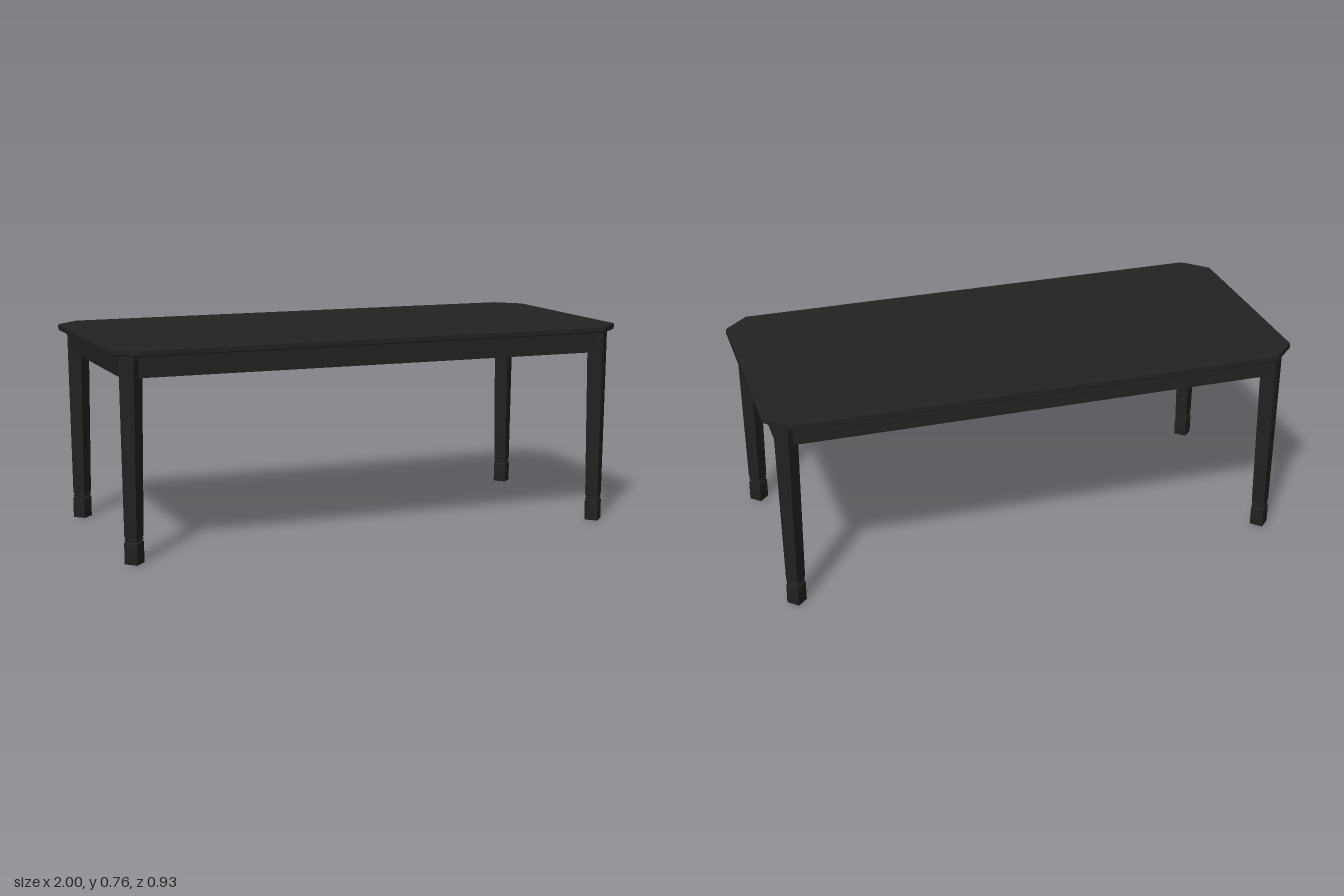
import * as THREE from 'three';
import { toCreasedNormals } from 'three/addons/utils/BufferGeometryUtils.js';

export function createModel() {
  const table = new THREE.Group();
  table.name = 'extendingTable';
  const wood = new THREE.MeshStandardMaterial({ color: 0x222222 });
  wood.name = 'blackWood';

  const add = (name, geometry, x = 0, y = 0, z = 0, parent = table) => {
    const mesh = new THREE.Mesh(geometry, wood);
    mesh.name = name;
    mesh.position.set(x, y, z);
    parent.add(mesh);
    return mesh;
  };
  const box = (name, w, h, d, x, y, z, parent) =>
    add(name, new THREE.BoxGeometry(w, h, d), x, y, z, parent);

  // Two table top leaves with clipped corners and eased edges, meeting at a fine seam
  const outline = new THREE.Shape([
    [0, -0.467], [0.91, -0.467], [1, -0.378], [1, 0.378], [0.91, 0.467], [0, 0.467],
  ].map(([x, y]) => new THREE.Vector2(x, y)));
  const bevel = 0.003;
  const leaf = new THREE.ExtrudeGeometry(outline, {
    depth: 0.023 - 2 * bevel, bevelEnabled: true, bevelSegments: 1,
    bevelSize: bevel, bevelThickness: bevel, bevelOffset: -bevel,
  });
  leaf.rotateX(-Math.PI / 2);
  add('leftLeaf', leaf, 0, 0.742 + bevel, 0);
  add('rightLeaf', leaf, 0, 0.742 + bevel, 0).rotation.y = Math.PI;

  // Aprons with a raised bead along the lower edge
  for (const s of [1, -1]) {
    box('longApron', 1.8, 0.08, 0.02, 0, 0.702, s * 0.41);
    box('longApronBead', 1.74, 0.016, 0.004, 0, 0.671, s * 0.421);
    box('endApron', 0.02, 0.08, 0.75, s * 0.945, 0.702, 0);
    box('endApronBead', 0.004, 0.016, 0.72, s * 0.956, 0.671, 0);
  }

  // Square tapered leg with a turned neck above the foot
  const profile = [
    [0, 0], [0.035, 0], [0.036, 0.003], [0.036, 0.076], [0.033, 0.081],
    [0.031, 0.083], [0.034, 0.086], [0.034, 0.090], [0.031, 0.093],
    [0.034, 0.098], [0.035, 0.102], [0.0425, 0.742], [0, 0.742],
  ].map(([r, y]) => new THREE.Vector2(r, y));
  const legShape = toCreasedNormals(new THREE.LatheGeometry(profile, 4, Math.PI / 4), 0.3);

  for (const sx of [1, -1]) {
    for (const sz of [1, -1]) {
      // Each leg is turned to face its clipped corner
      const leg = new THREE.Group();
      leg.name = 'leg';
      leg.position.set(sx * 0.921, 0, sz * 0.39);
      leg.rotation.y = Math.atan2(sx, sz);
      table.add(leg);
      add('legPost', legShape, 0, 0, 0, leg);
      box('legPanel', 0.03, 0.31, 0.004, 0, 0.565, 0.0284, leg).rotation.x = 0.009;

      // Diagonal brace behind the leg
      const brace = box('cornerBrace', 0.19, 0.078, 0.02, sx * 0.868, 0.703, sz * 0.334);
      brace.rotation.y = Math.atan2(sx, sz);

      // Small guide block beside each cross beam
      box('guideBlock', 0.09, 0.05, 0.03, sx * 0.3, 0.705, sz * 0.385);
    }
  }

  // Extension mechanism under the top
  for (const s of [1, -1]) {
    box('slideRunner', 1.52, 0.03, 0.03, 0, 0.727, s * 0.3);
    box('crossBeam', 0.075, 0.03, 0.8, s * 0.41, 0.697, 0);
    box('centreCleat', 0.035, 0.02, 0.42, s * 0.17, 0.732, 0);
  }

  return table;
}
